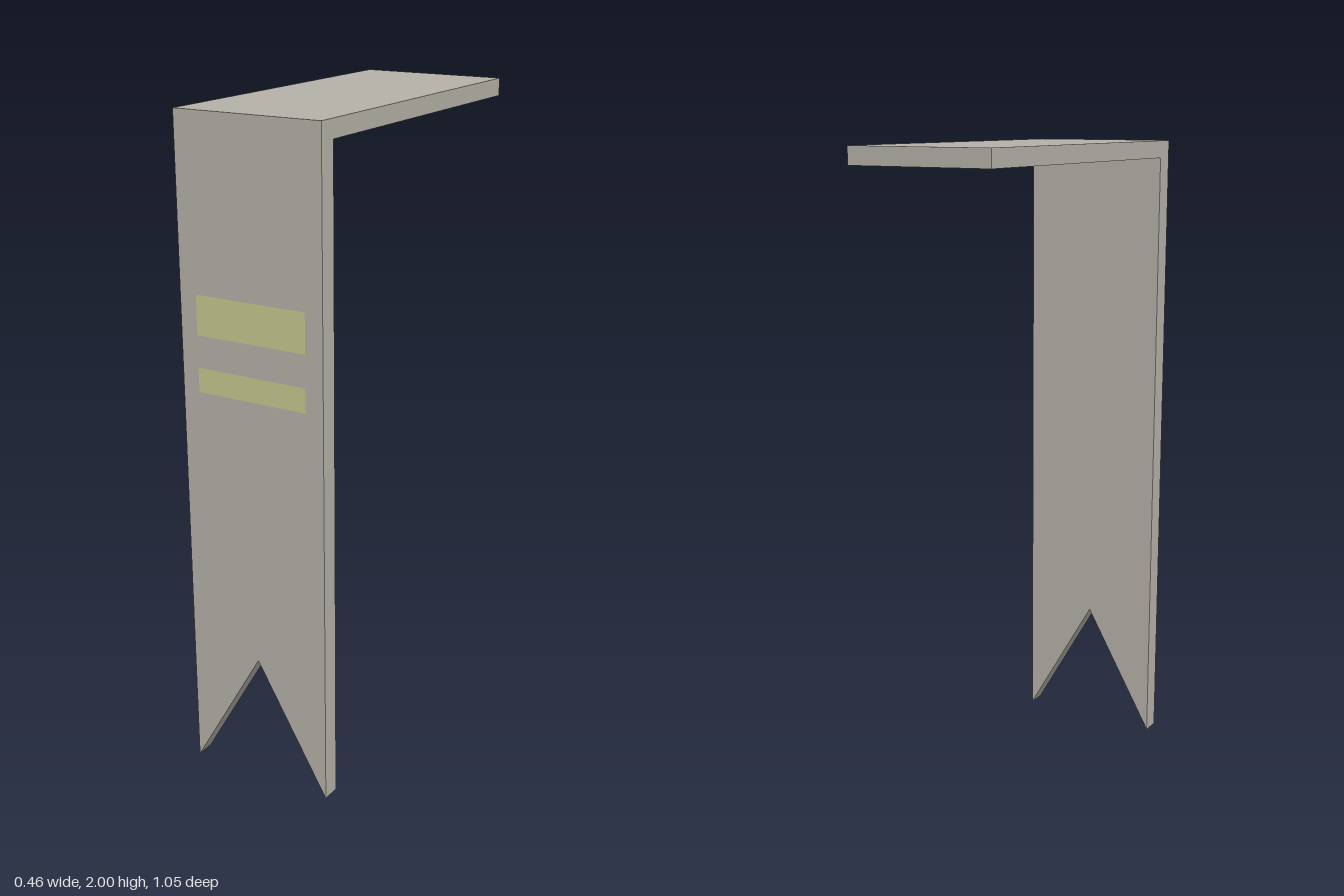
import * as THREE from 'three';

const HALF_W = 0.232, HEIGHT = 2, FRONT = 0.525, BACK = -0.525;
const WALL = 0.058, SHELF = 0.053, NOTCH = 0.4;

export function createModel() {
  const group = new THREE.Group();
  const stone = new THREE.MeshStandardMaterial({ name: 'warm grey', color: 0xb5b2a8 });
  const yellow = new THREE.MeshStandardMaterial({ name: 'pale yellow', color: 0xc5c98f });

  function add(name, geometry, material, x, y, z) {
    const mesh = new THREE.Mesh(geometry, material);
    mesh.name = name;
    mesh.position.set(x, y, z);
    group.add(mesh);
  }

  // Hanging front panel with a swallowtail notch at the bottom
  const outline = new THREE.Shape([
    [-HALF_W, 0], [0, NOTCH], [HALF_W, 0], [HALF_W, HEIGHT], [-HALF_W, HEIGHT],
  ].map(([x, y]) => new THREE.Vector2(x, y)));
  const panel = new THREE.ExtrudeGeometry(outline, { depth: WALL, bevelEnabled: false });
  add('frontPanel', panel, stone, 0, 0, FRONT - WALL);

  // Horizontal top, butted against the back of the panel
  const depth = FRONT - WALL - BACK;
  add('topPanel', new THREE.BoxGeometry(HALF_W * 2, SHELF, depth), stone,
    0, HEIGHT - SHELF / 2, BACK + depth / 2);

  // Painted stripes on the front: bottom and top heights
  for (const [name, low, high] of [['wideStripe', 1.38, 1.497], ['narrowStripe', 1.213, 1.285]]) {
    add(name, new THREE.PlaneGeometry(0.355, high - low), yellow, 0, (low + high) / 2, FRONT + 0.002);
  }
  return group;
}
